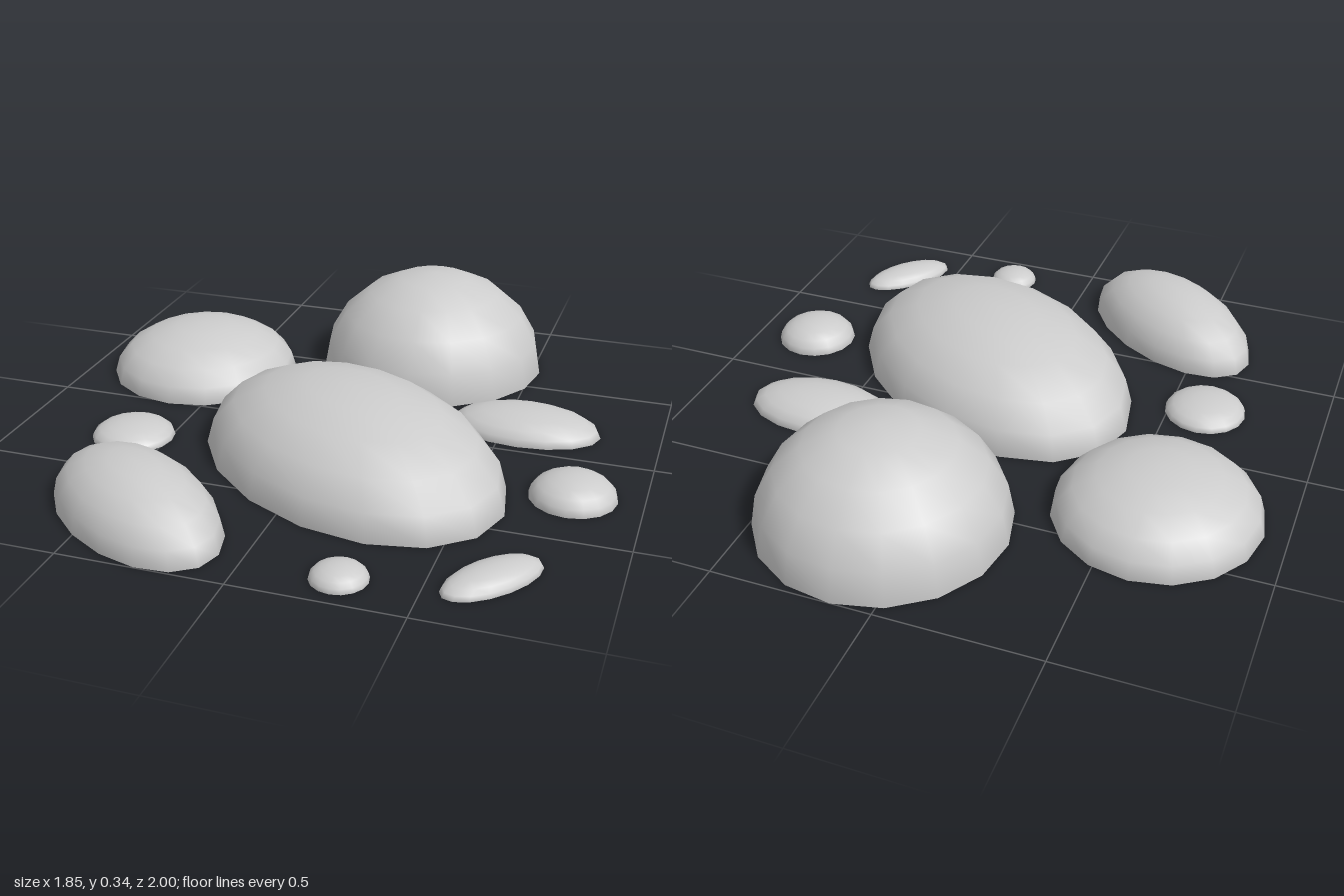
import * as THREE from 'three';

// name, centre x, centre z, half length, height, half width, turn about y
const STONES = [
  ['mainStone', 0.11, 0.24, 0.567, 0.268, 0.382, -0.6],
  ['tallRoundStone', 0.14, -0.613, 0.388, 0.34, 0.388, 0.04],
  ['flatRoundStone', -0.61, -0.305, 0.32, 0.176, 0.32, 0],
  ['frontOvalStone', -0.38, 0.732, 0.357, 0.175, 0.203, -0.64],
  ['backOvalPebble', 0.568, -0.17, 0.244, 0.076, 0.142, 0],
  ['leftPebble', 0.792, 0.24, 0.132, 0.076, 0.132, 0],
  ['rightPebble', -0.616, 0.267, 0.132, 0.053, 0.132, 0],
  ['frontOvalPebble', 0.665, 0.757, 0.166, 0.045, 0.077, 0.89],
  ['tinyPebble', 0.278, 0.877, 0.083, 0.045, 0.083, 0],
];

export function createModel() {
  const group = new THREE.Group();
  group.name = 'stoneCluster';
  const stone = new THREE.MeshStandardMaterial({ color: 0xcccccc, side: THREE.DoubleSide });
  stone.name = 'stone grey';

  // Every stone is an open-bottomed half sphere, stretched and turned
  const dome = new THREE.SphereGeometry(1, 16, 5, 0, Math.PI * 2, 0, Math.PI / 2);
  for (const [name, x, z, length, height, width, turn] of STONES) {
    const mesh = new THREE.Mesh(dome, stone);
    mesh.name = name;
    mesh.position.set(x, 0, z);
    mesh.scale.set(length, height, width);
    mesh.rotation.y = turn;
    group.add(mesh);
  }
  return group;
}
